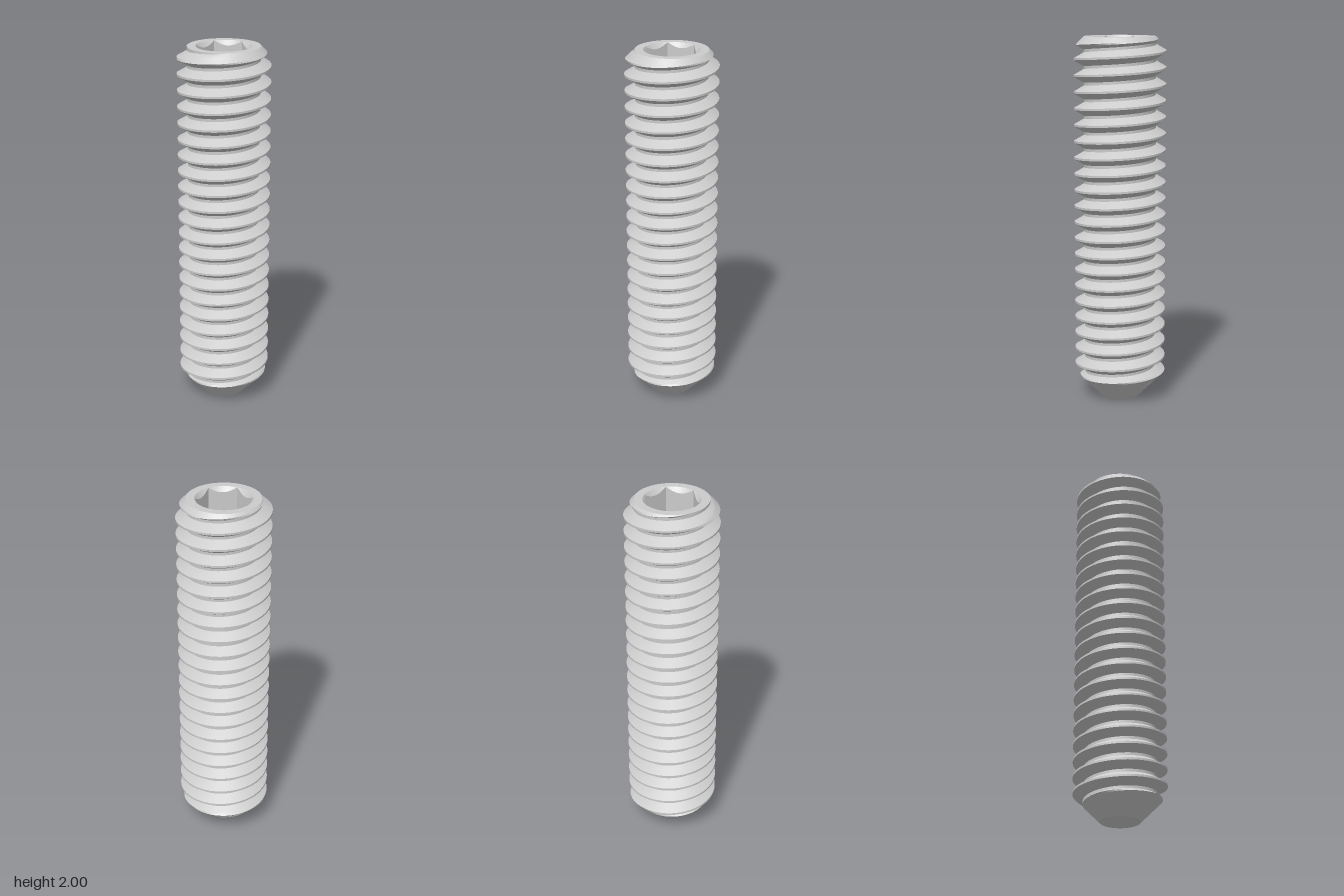
import * as THREE from 'three';
import { toCreasedNormals } from 'three/addons/utils/BufferGeometryUtils.js';

const SEGMENTS = 72;
const LENGTH = 2;
const PITCH = 0.0889;
const CREST = 0.25;       // outer thread radius
const ROOT = 0.1955;      // inner thread radius
const TOP_RADIUS = 0.195; // flat top face
const TIP_RADIUS = 0.105; // bottom rim
const SOCKET = 0.15;      // hexagon corner radius
const APOTHEM = SOCKET * Math.cos(Math.PI / 6);

// Skin swept around the y axis: profileAt(theta) lists [radius, height] from bottom to top.
function sweptSkin(profileAt, crease) {
  const columns = [];
  for (let i = 0; i <= SEGMENTS; i++) {
    const t = (i / SEGMENTS) * Math.PI * 2;
    columns.push(profileAt(t).map(([r, y]) => new THREE.Vector3(r * Math.cos(t), y, -r * Math.sin(t))));
  }
  const positions = [];
  const addTriangle = (a, b, c) => {
    const area = b.clone().sub(a).cross(c.clone().sub(a)).length();
    if (area > 1e-9) for (const p of [a, b, c]) positions.push(p.x, p.y, p.z);
  };
  for (let i = 0; i < SEGMENTS; i++) {
    const [u, v] = [columns[i], columns[i + 1]];
    for (let j = 0; j < u.length - 1; j++) {
      addTriangle(u[j], v[j], v[j + 1]);
      addTriangle(u[j], v[j + 1], u[j + 1]);
    }
  }
  const geometry = new THREE.BufferGeometry();
  geometry.setAttribute('position', new THREE.Float32BufferAttribute(positions, 3));
  return toCreasedNormals(geometry, crease);
}

// One pitch of the 60 degree thread, as [radius, height above the crest centre].
function threadTooth() {
  const halfCrest = PITCH / 16;
  const flank = (CREST - ROOT) * Math.tan(Math.PI / 6);
  const steps = 4;
  const tooth = [];
  for (let k = 0; k <= steps; k++) {
    const f = k / steps;
    tooth.push([ROOT + (CREST - ROOT) * f, -halfCrest - flank * (1 - f)]);
  }
  for (let k = 0; k <= steps; k++) {
    const f = k / steps;
    tooth.push([CREST - (CREST - ROOT) * f, halfCrest + flank * f]);
  }
  return tooth;
}

// Helical thread, trimmed by 45 degree cones at both ends.
function threadProfile(theta) {
  const tooth = threadTooth();
  const start = 1.892 + (PITCH * theta) / (Math.PI * 2);
  const points = [];
  for (let turn = -24; turn <= 3; turn++) {
    for (const [r, dy] of tooth) {
      const y = THREE.MathUtils.clamp(start + turn * PITCH + dy, 0, LENGTH);
      points.push([Math.min(r, TIP_RADIUS + y, TOP_RADIUS + LENGTH - y), y]);
    }
  }
  return points;
}

// Flat top ring, countersink and hexagonal socket.
function socketProfile(theta) {
  const sector = Math.PI / 3;
  const wall = APOTHEM / Math.cos((theta % sector) - sector / 2);
  const floor = LENGTH - 0.25;
  return [
    [TOP_RADIUS, LENGTH],
    [SOCKET, LENGTH],
    [wall, LENGTH - (SOCKET - wall) * 1.3],
    [wall, floor],
    [0, floor],
  ];
}

// Conical hollow in the tip.
const cupProfile = () => [[0, 0.06], [0.1, 0], [TIP_RADIUS, 0]];

export function createModel() {
  const group = new THREE.Group();
  group.name = 'setScrew';
  const material = new THREE.MeshStandardMaterial({ color: 0xcccccc });
  const parts = [
    ['threadedShank', threadProfile, 0.22],
    ['hexSocket', socketProfile, 0.3],
    ['cupPoint', cupProfile, 0.3],
  ];
  for (const [name, profile, crease] of parts) {
    const mesh = new THREE.Mesh(sweptSkin(profile, crease), material);
    mesh.name = name;
    group.add(mesh);
  }
  return group;
}
